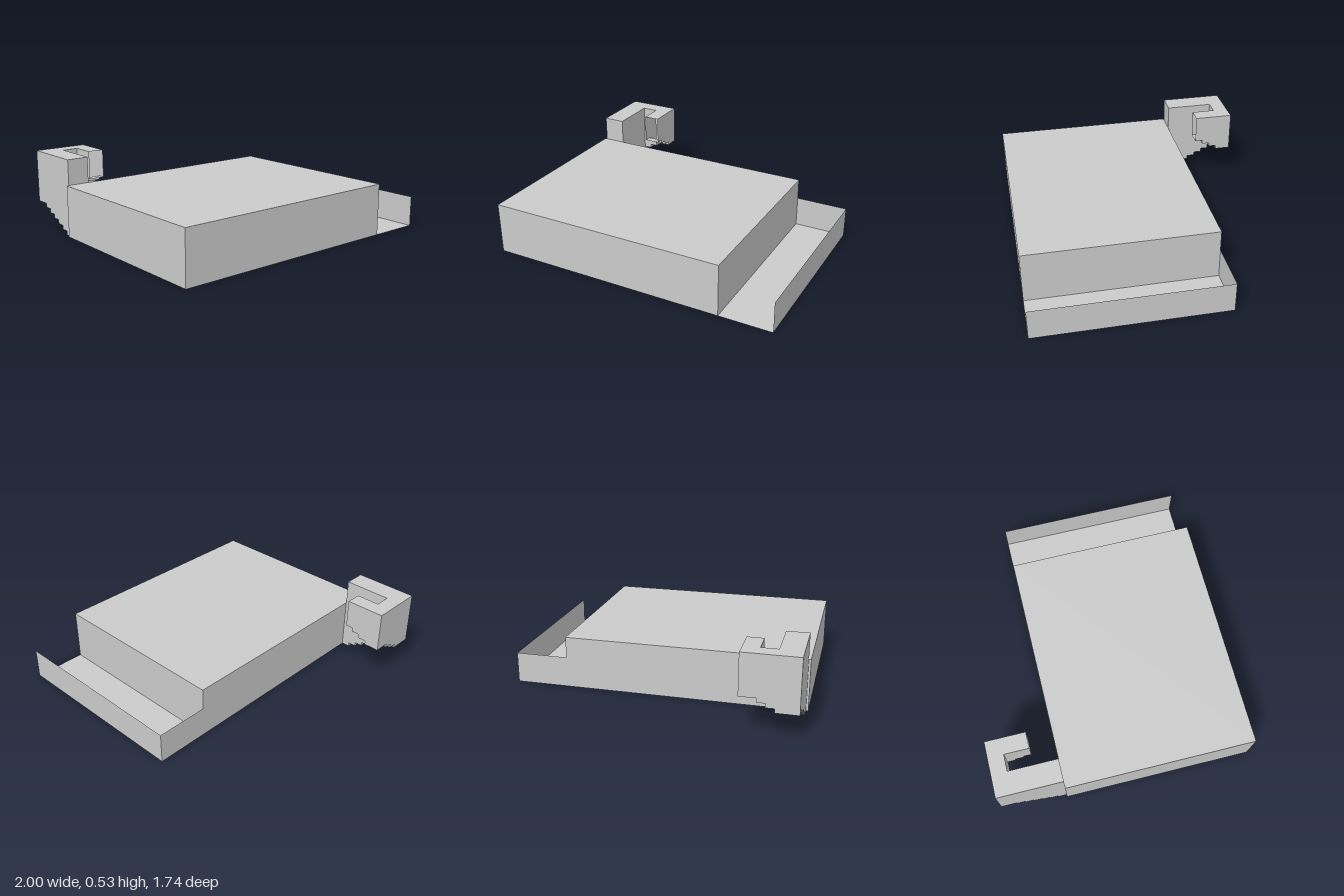
import * as THREE from 'three';
import { mergeGeometries } from 'three/addons/utils/BufferGeometryUtils.js';

const grey = new THREE.MeshStandardMaterial({ color: 0xcccccc, side: THREE.DoubleSide, flatShading: true });

// Flat four-cornered panel, corners in order
function quad(a, b, c, d) {
  const g = new THREE.BufferGeometry();
  g.setAttribute('position', new THREE.Float32BufferAttribute([a, b, c, d].flat(), 3));
  g.setIndex([0, 1, 2, 0, 2, 3]);
  g.computeVertexNormals();
  return g;
}
// Upright panel over a plan line, and level panel over a plan rectangle
const wall = (x0, z0, x1, z1, y0, y1) => quad([x0, y0, z0], [x1, y0, z1], [x1, y1, z1], [x0, y1, z0]);
const level = (x0, x1, z0, z1, y) => quad([x0, y, z1], [x1, y, z1], [x1, y, z0], [x0, y, z0]);

function addMesh(group, name, geometry) {
  const mesh = new THREE.Mesh(geometry, grey);
  mesh.name = name;
  group.add(mesh);
}

export function createModel() {
  const model = new THREE.Group();
  model.name = 'building';
  const front = 0.87, back = -0.43, height = 0.355;

  // Main closed block
  const block = new THREE.BoxGeometry(1.64, height, front - back);
  block.translate(-0.18, height / 2, (front + back) / 2);
  addMesh(model, 'mainRoom', block);

  // Side terrace: floor with thin outer and back walls, open to the front and sky
  addMesh(model, 'terraceFloor', level(0.64, 1, back, front, 0));
  addMesh(model, 'terraceOuterWall', wall(1, front, 1, back, 0, 0.21));
  addMesh(model, 'terraceBackWall', wall(0.64, back, 1, back, 0, 0.21));

  // U-shaped stairwell: cells along the climb, each with its plan rectangle,
  // walled sides (W/E/N/S) and the side it is entered from
  const roof = 0.53, run = 0.0555, rise = 0.0278;
  const xA0 = -0.985, xA1 = -0.835, xB0 = -0.725, xB1 = -0.615, zIn = -0.763, zEnd = -0.87;
  const cells = [];
  for (let i = 0; i < 6; i++) {
    cells.push({ r: [xA0, xA1, back - run * (i + 1), back - run * i], sides: 'WE', enter: 'S' });
  }
  cells.push({ r: [xA0, xA1, zEnd, zIn], sides: 'WN', enter: 'S' });
  for (let i = 0; i < 2; i++) {
    cells.push({ r: [xA1 + 0.055 * i, xA1 + 0.055 * (i + 1), zEnd, zIn], sides: 'NS', enter: 'W' });
  }
  cells.push({ r: [xB0, xB1, zEnd, zIn], sides: 'NE', enter: 'W' });
  for (let i = 0; i < 3; i++) {
    cells.push({ r: [xB0, xB1, zIn + run * i, zIn + run * (i + 1)], sides: 'WE', enter: 'N' });
  }

  const walls = [], steps = [], ceiling = [];
  cells.forEach(({ r: [x0, x1, z0, z1], sides, enter }, i) => {
    const y = rise * i;
    const edge = {
      W: [x0, z0, x0, z1], E: [x1, z1, x1, z0], N: [x1, z0, x0, z0], S: [x0, z1, x1, z1],
    };
    for (const s of sides) walls.push(wall(...edge[s], y, roof));
    steps.push(level(x0, x1, z0, z1, y));
    if (i > 0) steps.push(wall(...edge[enter], y - rise, y));
    ceiling.push(level(x0, x1, z0, z1, roof));
  });
  // Wall above the main block where the stairwell meets it
  walls.push(wall(xA0, back, xA1, back, height, roof));

  const stairwell = new THREE.Group();
  stairwell.name = 'stairwell';
  addMesh(stairwell, 'stairwellWalls', mergeGeometries(walls));
  addMesh(stairwell, 'stairSteps', mergeGeometries(steps));
  addMesh(stairwell, 'stairwellCeiling', mergeGeometries(ceiling));
  model.add(stairwell);
  return model;
}
